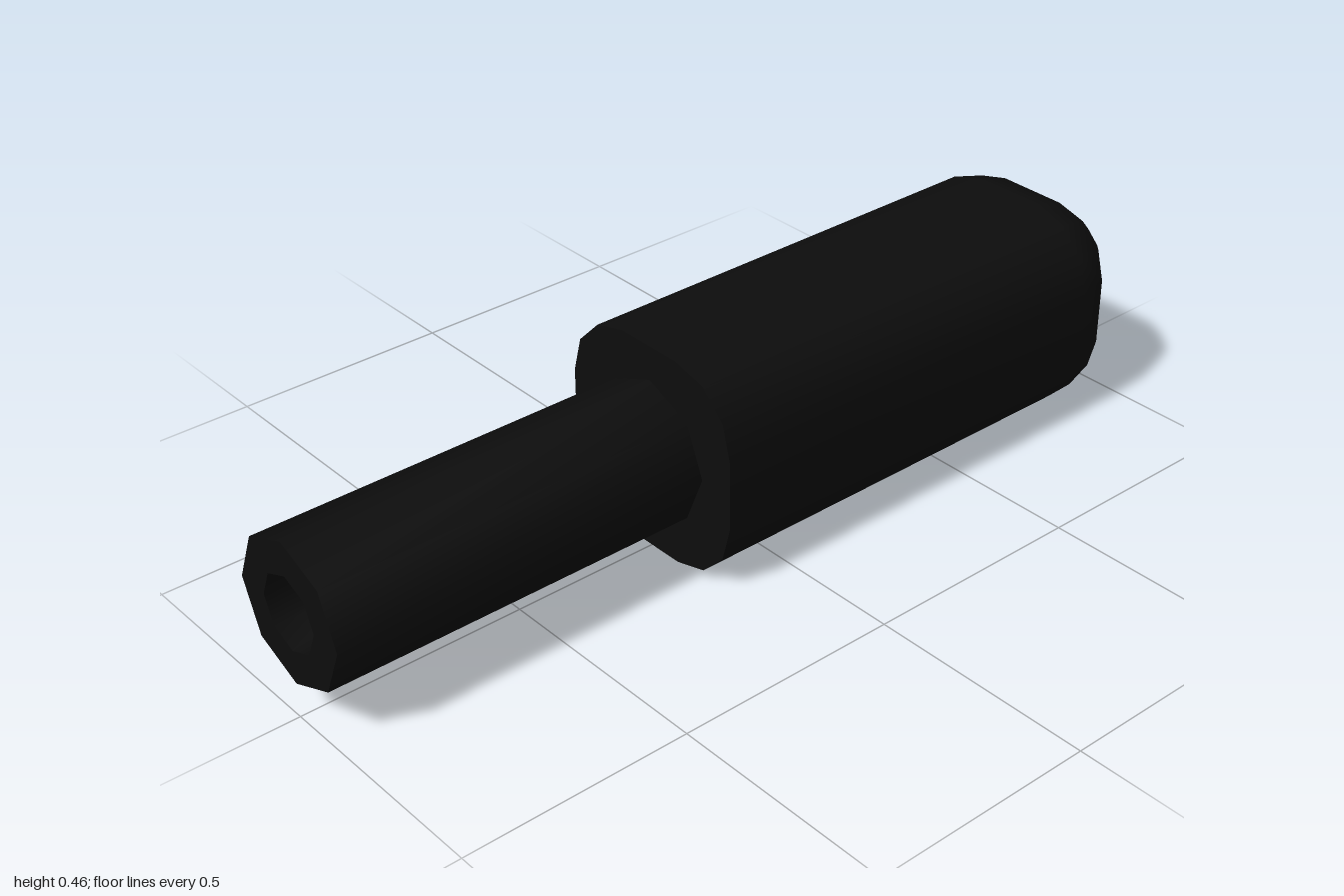
import * as THREE from 'three';
import { mergeVertices, toCreasedNormals } from 'three/addons/utils/BufferGeometryUtils.js';

const MID_Y = 0.234, RADIUS = 0.157, FLAT_X = 0.08, FLAT_Y = 0.075;
const FRONT_Z = 0.165, DOME_Z = -0.843, STEPS = 3;

// Rounded-rectangle loop, counter-clockwise seen from the front
function loop(radius) {
  const points = [];
  for (let corner = 0; corner < 4; corner++) {
    const sx = corner === 0 || corner === 3 ? 1 : -1;
    const sy = corner < 2 ? 1 : -1;
    for (let s = 0; s <= STEPS; s++) {
      const a = (corner + s / STEPS) * Math.PI / 2;
      points.push(new THREE.Vector2(sx * FLAT_X + radius * Math.cos(a), sy * FLAT_Y + radius * Math.sin(a)));
    }
  }
  return points;
}

// Straight sleeve that rounds over to a flat back
function sleeveGeometry() {
  const rings = [[RADIUS, FRONT_Z]];
  for (let s = 0; s <= STEPS; s++) {
    const a = s / STEPS * Math.PI / 2;
    rings.push([RADIUS * Math.cos(a), DOME_Z - RADIUS * Math.sin(a)]);
  }
  const position = [], index = [], n = 4 * (STEPS + 1);
  for (const [r, z] of rings) for (const p of loop(r)) position.push(p.x, p.y, z);
  for (let i = 0; i < rings.length - 1; i++) {
    for (let j = 0; j < n; j++) {
      const a = i * n + j, b = i * n + (j + 1) % n;
      index.push(a, a + n, b, b, a + n, b + n);
    }
  }
  // Back cap
  const last = (rings.length - 1) * n, centre = position.length / 3;
  position.push(0, 0, DOME_Z - RADIUS);
  for (let j = 0; j < n; j++) index.push(centre, last + (j + 1) % n, last + j);
  let geometry = new THREE.BufferGeometry();
  geometry.setAttribute('position', new THREE.Float32BufferAttribute(position, 3));
  geometry.setIndex(index);
  geometry = mergeVertices(geometry, 1e-4);
  geometry.computeVertexNormals();
  return geometry;
}

export function createModel() {
  const group = new THREE.Group();
  const black = new THREE.MeshStandardMaterial({ color: 0x0d0d0d });
  black.name = 'black';

  const add = (name, geometry, z = 0) => {
    const mesh = new THREE.Mesh(geometry, black);
    mesh.name = name;
    mesh.position.set(0, MID_Y, z);
    group.add(mesh);
  };

  // Thick rounded body and its flat front face
  add('body', sleeveGeometry());
  add('bodyFrontFace', new THREE.ShapeGeometry(new THREE.Shape(loop(RADIUS))), FRONT_Z);

  // Eight-sided stem with a bored end
  const profile = [[0.156, 0.15], [0.156, 1], [0.082, 1], [0.082, 0.7], [0, 0.7]]
    .map(([r, y]) => new THREE.Vector2(r, y));
  const stem = new THREE.LatheGeometry(profile, 8).rotateX(Math.PI / 2);
  add('stem', toCreasedNormals(stem, Math.PI / 3));

  return group;
}
